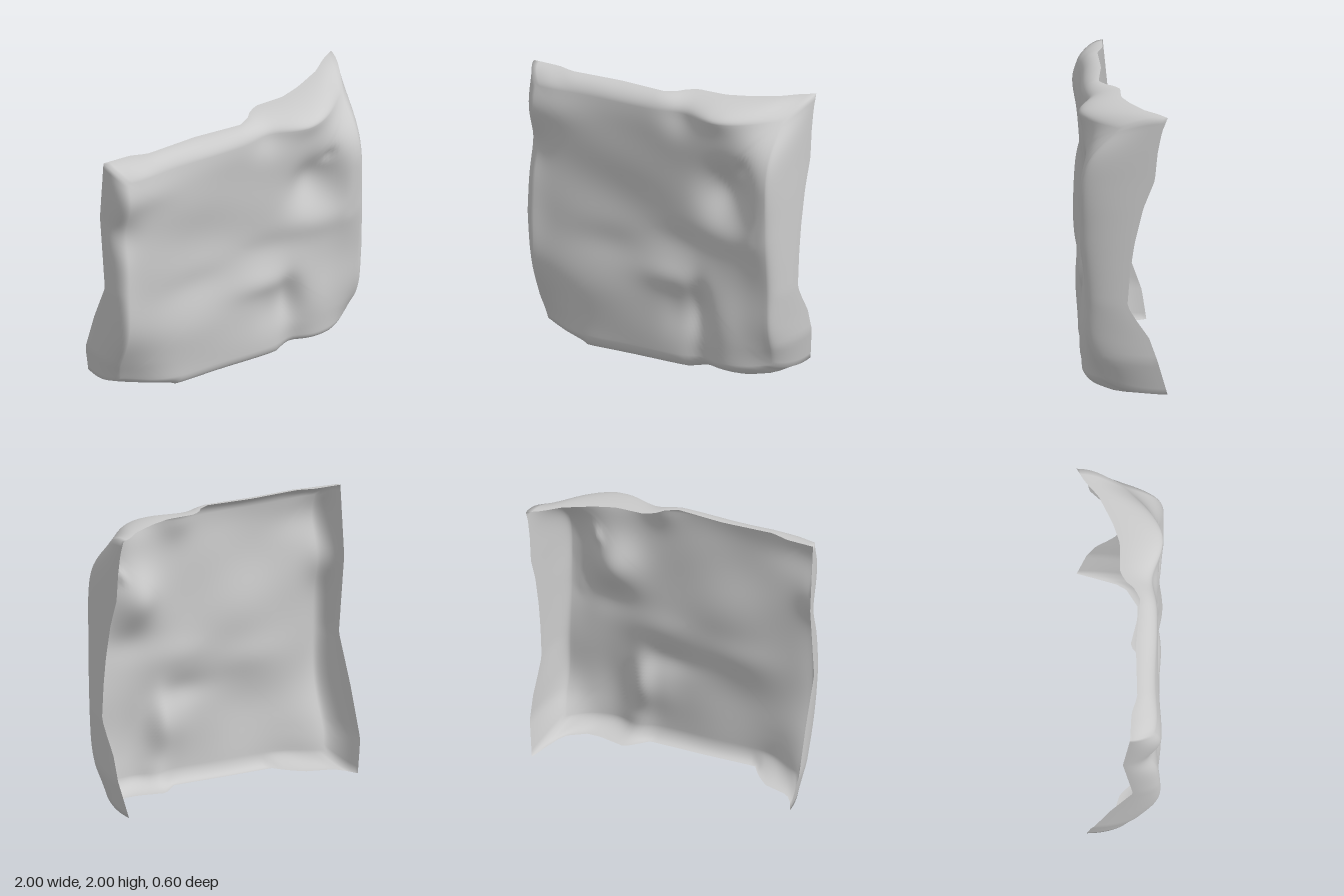
import * as THREE from 'three';

// Piecewise-linear lookup through [position, value] pairs
function lookup(points, p) {
  if (p <= points[0][0]) return points[0][1];
  for (let i = 1; i < points.length; i++) {
    const [p0, v0] = points[i - 1], [p1, v1] = points[i];
    if (p <= p1) return v0 + (v1 - v0) * (p - p0) / (p1 - p0);
  }
  return points[points.length - 1][1];
}

// Depth (z) of the open rear edge along each side of the shell
const rearTop = [[-1, 0.07], [-0.8, 0.08], [-0.68, 0.12], [-0.3, 0.11], [0.04, 0.14], [0.12, 0.1],
  [0.18, 0.03], [0.25, 0], [0.45, 0], [0.6, -0.05], [0.8, -0.15], [0.9, -0.24], [1, -0.3]];
const rearBottom = [[-1, -0.23], [-0.95, -0.12], [-0.9, -0.06], [-0.7, 0], [-0.6, 0.1], [-0.54, 0.19],
  [-0.13, 0.19], [0.29, 0.2], [0.44, 0.07], [0.65, 0.12], [0.75, 0.12], [0.9, 0.03], [1, -0.29]];
const rearRight = [[0, -0.23], [0.2, -0.2], [0.59, -0.06], [0.93, 0.09], [1.5, 0.02], [2, 0.07]];
const rearLeft = [[0, -0.3], [0.25, -0.23], [0.42, -0.17], [0.55, -0.08], [0.65, -0.02], [0.9, -0.04],
  [1.1, -0.07], [1.35, -0.13], [1.55, -0.21], [1.75, -0.23], [1.9, -0.26], [2, -0.3]];

// Dents and swellings of the front face: x, y, radius x, radius y, height
const bumps = [
  // broad hollow and the slanting crease below it
  [-0.2, 1.15, 0.6, 0.4, -0.045],
  [0.2, 0.92, 0.25, 0.13, -0.02],
  [-0.3, 0.82, 0.28, 0.13, -0.02],
  [0.15, 0.66, 0.2, 0.1, 0.025],
  [-0.35, 0.52, 0.35, 0.18, 0.015],
  // round pocket with a deep nick and a ridge around it
  [0.56, 1.38, 0.17, 0.2, -0.1],
  [0.69, 1.57, 0.04, 0.04, -0.03],
  [0.85, 1.3, 0.12, 0.4, 0.04],
  [0.6, 1.06, 0.25, 0.12, 0.02],
  // groove and swelling at lower left
  [0.36, 0.45, 0.08, 0.2, -0.06],
  [0.25, 0.42, 0.14, 0.18, -0.03],
  [0.4, 0.05, 0.1, 0.15, -0.04],
  [0.58, 0.3, 0.13, 0.25, 0.03],
  // worn corners and side
  [1, 2, 0.23, 0.23, -0.34],
  [1, 0, 0.18, 0.28, -0.2],
  [-1, 0, 0.27, 0.38, -0.22],
  [-1, 2, 0.14, 0.15, -0.06],
  [-1, 1.44, 0.15, 0.16, -0.07],
  [-1, 0.9, 0.13, 0.3, 0.035],
  // top rim
  [-0.4, 2, 0.5, 0.14, -0.03],
  [0.22, 1.9, 0.13, 0.14, -0.04],
  [0.52, 1.95, 0.16, 0.12, 0.04],
  [-0.8, 1.75, 0.25, 0.13, 0.02],
];

function relief(x, y) {
  let z = 0.268;
  for (const [bx, by, rx, ry, h] of bumps) z += h * Math.exp(-(((x - bx) / rx) ** 2) - ((y - by) / ry) ** 2);
  z += 0.007 * Math.sin(7 * x + 3 * y) * Math.sin(8 * y - 2 * x + 1);
  return Math.min(z, 0.3);
}

// Point on the square outline, counter-clockwise, with its rear depth
function outline(t) {
  const side = Math.floor(t * 4) % 4, f = (t * 4) % 1 * 2 - 1;
  if (side === 0) return { x: 1, y: f, rear: lookup(rearLeft, f + 1) };
  if (side === 1) return { x: -f, y: 1, rear: lookup(rearTop, -f) };
  if (side === 2) return { x: -1, y: -f, rear: lookup(rearRight, 1 - f) };
  return { x: f, y: -1, rear: lookup(rearBottom, f) };
}

export function createModel() {
  const segments = 192, frontRings = 34, rimRings = 14, inset = 0.1;
  const rings = frontRings + rimRings;
  const positions = [], indices = [];

  // Square rings grow over the front, then curl back to the rear edge
  for (let k = 0; k <= rings; k++) {
    const a = Math.max(0, k - frontRings) / rimRings * Math.PI / 2;
    const s = k <= frontRings ? (1 - inset) * k / frontRings : 1 - inset * (1 - Math.sin(a));
    for (let j = 0; j < segments; j++) {
      const p = outline(j / segments);
      const x = p.x * s, y = 1 + p.y * s;
      const z = p.rear + (relief(x, y) - p.rear) * Math.cos(a);
      // Lower corners taper inward
      const taper = 1 - 0.045 * Math.max(0, 1 - y / 0.25);
      positions.push(x * taper, y, z);
    }
  }
  for (let k = 0; k < rings; k++) {
    for (let j = 0; j < segments; j++) {
      const n = (j + 1) % segments;
      const a = k * segments + j, b = k * segments + n, c = a + segments, d = b + segments;
      indices.push(a, c, d);
      if (k > 0) indices.push(a, d, b);
    }
  }

  const geometry = new THREE.BufferGeometry();
  geometry.setAttribute('position', new THREE.Float32BufferAttribute(positions, 3));
  geometry.setIndex(indices);
  geometry.computeVertexNormals();
  // The shared centre point faces straight forward
  for (let j = 0; j < segments; j++) geometry.attributes.normal.setXYZ(j, 0, 0, 1);

  const shell = new THREE.Mesh(geometry,
    new THREE.MeshStandardMaterial({ color: 0xcccccc, side: THREE.DoubleSide }));
  shell.name = 'rockPanelShell';
  const group = new THREE.Group();
  group.name = 'rockPanel';
  group.add(shell);
  return group;
}
